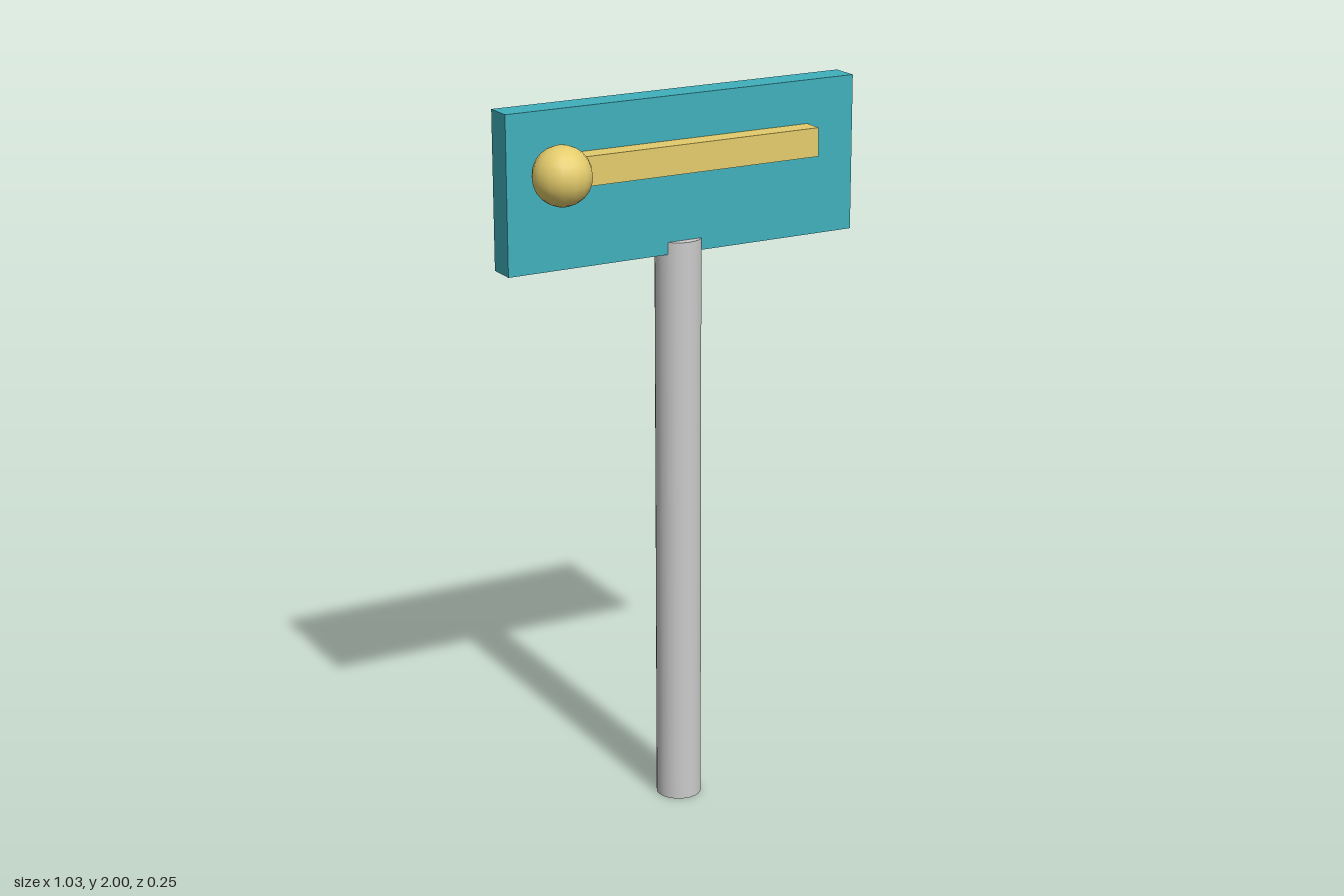
import * as THREE from 'three';

export function createModel() {
  const group = new THREE.Group();
  const grey = new THREE.MeshStandardMaterial({ color: 0xcccccc });
  const teal = new THREE.MeshStandardMaterial({ color: 0x40b0bc });
  const gold = new THREE.MeshStandardMaterial({ color: 0xe4cc6c });

  const add = (name, geometry, material, x, y, z) => {
    const mesh = new THREE.Mesh(geometry, material);
    mesh.name = name;
    mesh.position.set(x, y, z);
    group.add(mesh);
    return mesh;
  };

  // Round post, its top let into the lower edge of the board
  add('post', new THREE.CylinderGeometry(0.0625, 0.0625, 1.61, 20), grey, 0, 0.805, -0.062);

  // Flat sign board
  add('board', new THREE.BoxGeometry(1.034, 0.423, 0.079), teal, 0, 1.7885, -0.065);

  // Raised bar with a ball at its right end
  add('bar', new THREE.BoxGeometry(0.77, 0.078, 0.078), gold, -0.01, 1.843, -0.006);
  const ball = add('ball', new THREE.SphereGeometry(0.079, 14, 12), gold, -0.394, 1.843, 0.044);
  ball.rotation.y = Math.PI / 2;

  return group;
}
